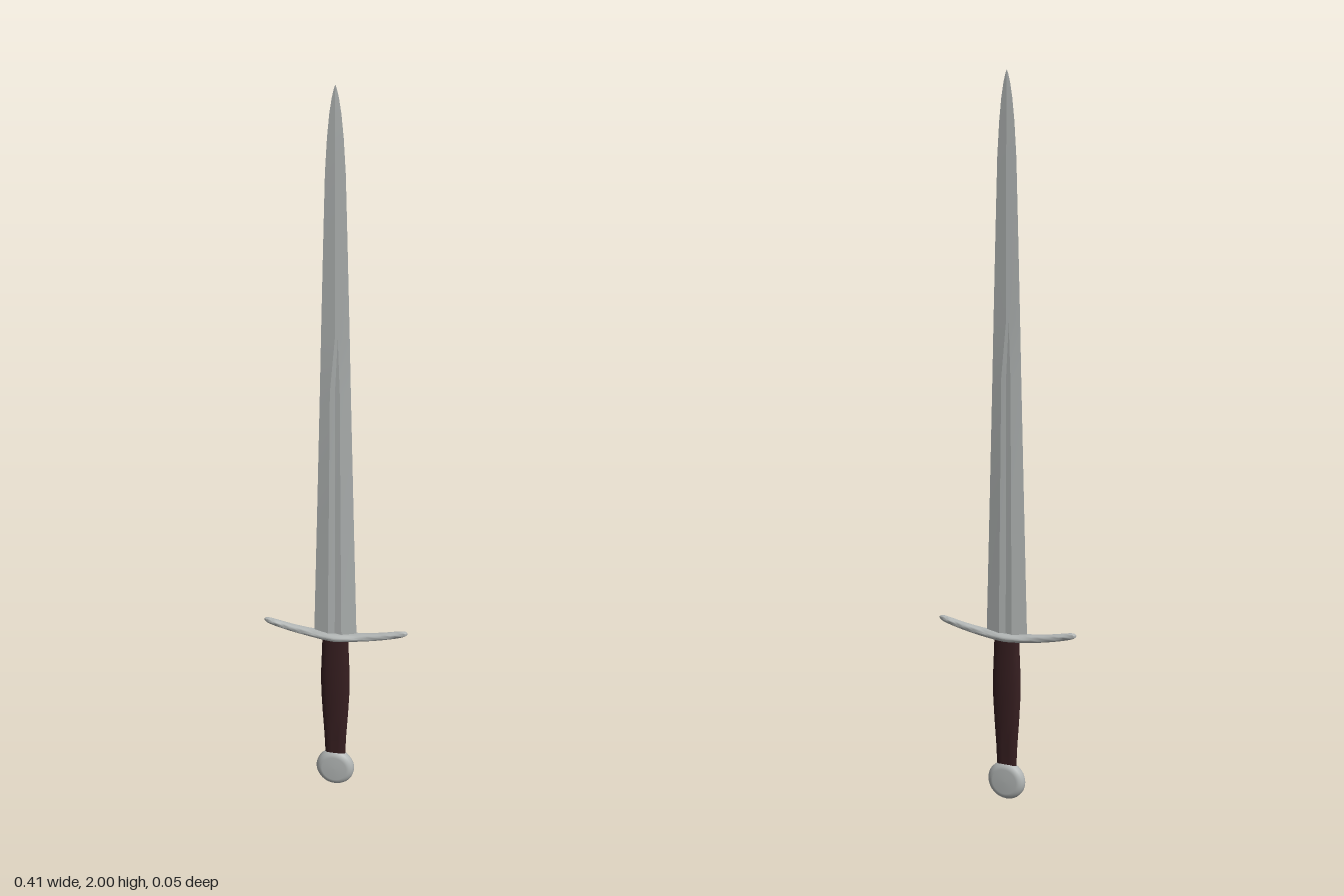
import * as THREE from 'three';
import { toCreasedNormals } from 'three/addons/utils/BufferGeometryUtils.js';

// Skin a list of closed rings (arrays of [x, y, z]) and cap both ends.
function loft(rings, crease) {
  const n = rings[0].length, last = rings.length - 1;
  const pos = rings.flat(2), idx = [];
  for (let i = 0; i < last; i++) {
    for (let j = 0; j < n; j++) {
      const a = i * n + j, b = i * n + (j + 1) % n, c = a + n, d = b + n;
      idx.push(a, c, b, b, c, d);
    }
  }
  for (const end of [0, last]) {
    const centre = pos.length / 3;
    for (let k = 0; k < 3; k++) pos.push(rings[end].reduce((s, p) => s + p[k], 0) / n);
    for (let j = 0; j < n; j++) {
      const a = end * n + j, b = end * n + (j + 1) % n;
      if (end === 0) idx.push(centre, a, b);
      else idx.push(centre, b, a);
    }
  }
  const geo = new THREE.BufferGeometry();
  geo.setAttribute('position', new THREE.Float32BufferAttribute(pos, 3));
  geo.setIndex(idx);
  return toCreasedNormals(geo, crease);
}

const ring = (n, fn) => Array.from({ length: n }, (_, j) => {
  const a = (j / n) * Math.PI * 2;
  return fn(Math.cos(a), Math.sin(a));
});

export function createModel() {
  const model = new THREE.Group();
  model.name = 'sword';
  const steel = new THREE.MeshStandardMaterial({ color: 0xb2b6b5 });
  steel.name = 'steel';
  const leather = new THREE.MeshStandardMaterial({ color: 0x361e20 });
  leather.name = 'dark leather';
  const add = (name, geo, mat) => {
    const mesh = new THREE.Mesh(geo, mat);
    mesh.name = name;
    model.add(mesh);
    return mesh;
  };

  // Blade: [y, half width, half thickness, fuller depth]
  const blade = [
    [0.475, 0.061, 0.0105, 0.003], [0.85, 0.051, 0.0085, 0.0025],
    [1.2, 0.042, 0.0065, 0.0015], [1.35, 0.0385, 0.0058, 0],
    [1.6, 0.032, 0.0045, 0], [1.78, 0.027, 0.0036, 0],
    [1.87, 0.0215, 0.003, 0], [1.93, 0.0155, 0.0022, 0],
    [1.97, 0.009, 0.0014, 0], [1.992, 0.0035, 0.0007, 0], [2, 0.0004, 0.0002, 0],
  ].map(([y, w, t, f]) => {
    const s = f > 0 ? 0.32 : 0.2;      // the ridges close in where the fuller ends
    const shoulder = f > 0 ? t : t * 0.8;
    return [
      [w, y, 0], [w * s, y, shoulder], [0, y, t - f], [-w * s, y, shoulder],
      [-w, y, 0], [-w * s, y, -shoulder], [0, y, -(t - f)], [w * s, y, -shoulder],
    ];
  });
  add('blade', loft(blade, 0.15), steel);

  // Crossguard: a slim bar that bends up and tapers towards both ends
  const guard = [];
  const steps = 32;
  for (let i = 0; i <= steps; i++) {
    const u = -Math.cos((i / steps) * Math.PI), m = Math.abs(u);
    const round = Math.max(0.15, Math.sqrt(1 - Math.pow(m, 24)));
    const x = u * 0.205;
    const y = 0.477 + 0.032 * Math.pow(m, 1.8);
    const depth = (0.0075 + 0.0095 * (1 - m) + 0.008 * Math.exp(-Math.pow(m / 0.24, 2))) * round;
    const height = (0.009 + 0.004 * (1 - m)) * round;
    guard.push(ring(16, (c, s) => [x - 0.3 * u * s * height, y + s * height, c * depth]));
  }
  add('crossguard', loft(guard, 0.9), steel);

  // Grip: oval section, fullest a little above the middle
  const grip = [
    [0.095, 0.029, 0.0115], [0.16, 0.032, 0.013], [0.23, 0.037, 0.0155],
    [0.3, 0.041, 0.017], [0.36, 0.0415, 0.0175], [0.42, 0.039, 0.0165], [0.474, 0.037, 0.0155],
  ].map(([y, w, d]) => ring(20, (c, s) => [c * w, y, s * d]));
  add('grip', loft(grip, 0.7), leather);

  // Pommel: a flat disc with a rounded rim, facing front and back
  const profile = [
    [0, -0.019], [0.036, -0.0185], [0.044, -0.016], [0.051, -0.011], [0.055, -0.004],
    [0.055, 0.004], [0.051, 0.011], [0.044, 0.016], [0.036, 0.0185], [0, 0.019],
  ].map(([r, h]) => new THREE.Vector2(r, h));
  const pommel = add('pommel', new THREE.LatheGeometry(profile, 40), steel);
  pommel.rotation.x = Math.PI / 2;
  pommel.position.y = 0.055;

  return model;
}
